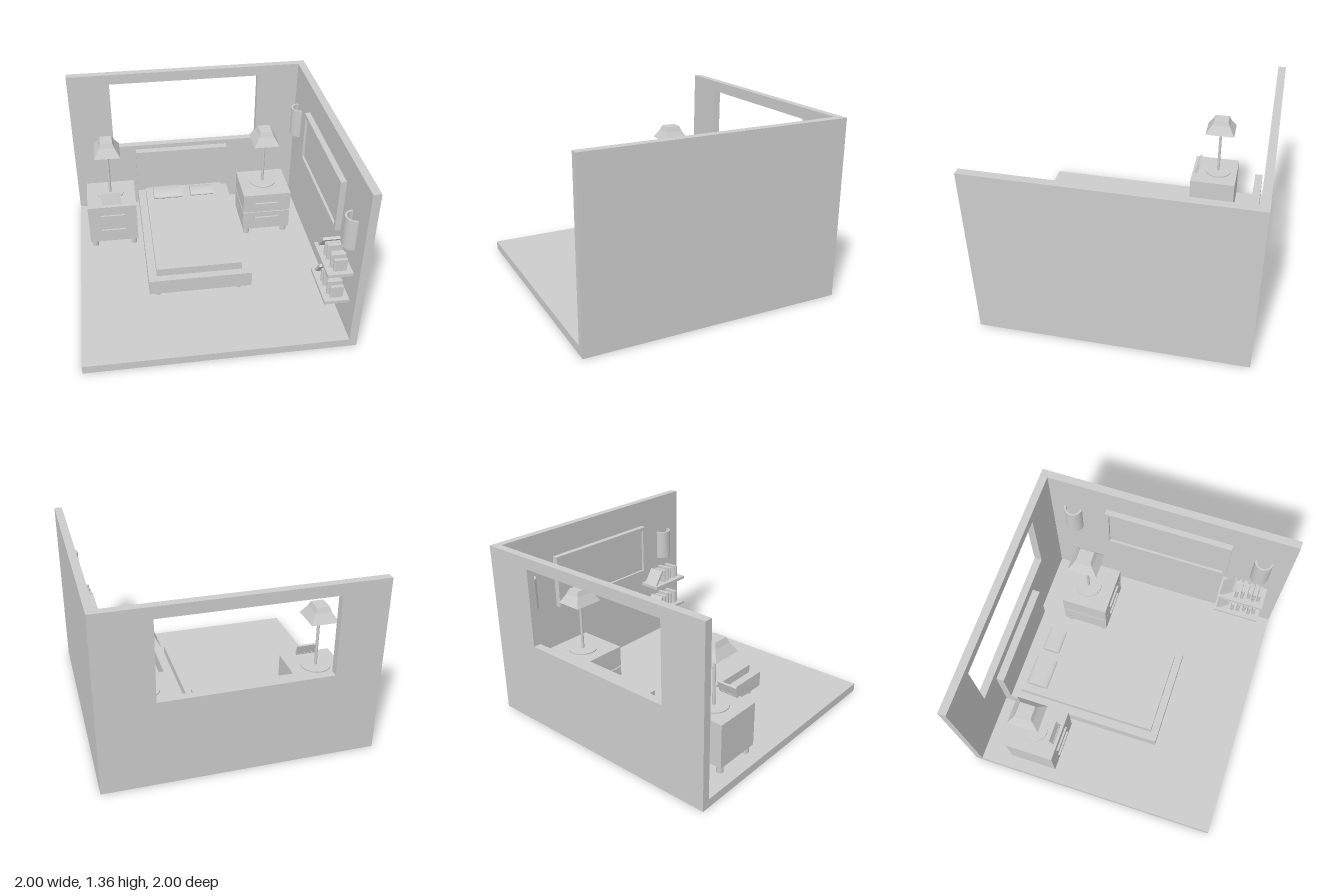
import * as THREE from 'three';

export function createModel() {
  const room = new THREE.Group();
  room.name = 'bedroom';
  const grey = new THREE.MeshStandardMaterial({ color: 0xcccccc });
  grey.name = 'plain grey';

  const add = (name, geo, parent = room) => {
    const mesh = new THREE.Mesh(geo, grey);
    mesh.name = name;
    parent.add(mesh);
    return mesh;
  };
  const group = (name) => {
    const g = new THREE.Group();
    g.name = name;
    room.add(g);
    return g;
  };
  // Box given by its extents along each axis
  const box = (name, x0, x1, y0, y1, z0, z1, parent) => {
    const geo = new THREE.BoxGeometry(x1 - x0, y1 - y0, z1 - z0);
    geo.translate((x0 + x1) / 2, (y0 + y1) / 2, (z0 + z1) / 2);
    return add(name, geo, parent);
  };
  // Upright cylinder from y0 to y1
  const post = (name, x, z, r, y0, y1, parent) => {
    const geo = new THREE.CylinderGeometry(r, r, y1 - y0, 32);
    geo.translate(x, (y0 + y1) / 2, z);
    return add(name, geo, parent);
  };
  // Rectangular plate with a rectangular opening, extruded along z
  const ring = (x0, x1, y0, y1, hx0, hx1, hy0, hy1, depth) => {
    const rect = (Type, a, b, c, d) => new Type([
      new THREE.Vector2(a, c), new THREE.Vector2(b, c),
      new THREE.Vector2(b, d), new THREE.Vector2(a, d)]);
    const shape = rect(THREE.Shape, x0, x1, y0, y1);
    shape.holes.push(rect(THREE.Path, hx0, hx1, hy0, hy1));
    return new THREE.ExtrudeGeometry(shape, { depth, bevelEnabled: false });
  };

  // Floor and walls
  const H = 1.355;
  box('floor', -1, 1, 0, 0.065, -1, 1);
  box('sideWall', 0.94, 1, 0.065, H, -1, 1);
  add('windowWall', ring(-1, 0.94, 0.065, H, -0.655, 0.595, 0.665, 1.27, 0.06)).position.z = -1;

  // Bed
  const bed = group('bed');
  box('headboard', -0.47, 0.33, 0.125, 0.64, -0.92, -0.86, bed);
  box('bedBase', -0.47, 0.33, 0.125, 0.25, -0.86, 0.385, bed);
  box('mattress', -0.405, 0.26, 0.25, 0.315, -0.79, 0.325, bed);
  for (const x of [-0.405, 0.235])
    for (const z of [-0.8, 0.31]) post('bedLeg', x, z, 0.025, 0.065, 0.125, bed);
  const pillow = (x0, x1, z0, z1, top) => {
    const geo = new THREE.CylinderGeometry(1, 1, x1 - x0, 32);
    geo.rotateZ(Math.PI / 2);
    geo.scale(1, (top - 0.315) / 2, (z1 - z0) / 2);
    geo.translate((x0 + x1) / 2, (top + 0.315) / 2, (z0 + z1) / 2);
    add('pillow', geo, bed);
  };
  pillow(-0.345, -0.1, -0.755, -0.578, 0.372);
  pillow(-0.025, 0.17, -0.735, -0.593, 0.362);

  // Bedside cabinets
  const cabinet = (cx, split) => {
    const g = group('bedsideCabinet');
    const [x0, x1, z0, z1] = [cx - 0.2, cx + 0.2, -0.7, -0.325];
    if (split) {
      box('lowerDrawer', x0, x1, 0.125, 0.292, z0, z1, g);
      box('cabinetCore', x0 + 0.01, x1 - 0.01, 0.292, 0.304, z0 + 0.01, z1 - 0.01, g);
      box('upperDrawer', x0, x1, 0.304, 0.47, z0, z1, g);
    } else box('cabinetBody', x0, x1, 0.125, 0.47, z0, z1, g);
    for (const y of [0.24, 0.384])
      box('drawerHandle', cx - 0.1, cx + 0.1, y - 0.006, y + 0.006, z1, z1 + 0.015, g);
    for (const dx of [-0.163, 0.163])
      for (const z of [z0 + 0.04, z1 - 0.04]) post('cabinetLeg', cx + dx, z, 0.025, 0.065, 0.125, g);
  };
  cabinet(-0.71, false);
  cabinet(0.59, true);

  // Table lamps with four-sided flared shades
  const lamp = (cx) => {
    const g = group('tableLamp');
    const cz = -0.538;
    post('lampFoot', cx, cz, 0.11, 0.47, 0.48, g);
    post('lampPole', cx, cz, 0.011, 0.48, 0.93, g);
    const tier = (y0, y1, w0, d0, w1, d1, openTop) => {
      const geo = new THREE.BoxGeometry(1, y1 - y0, 1);
      const p = geo.attributes.position;
      for (let i = 0; i < p.count; i++) {
        const up = p.getY(i) > 0;
        p.setX(i, p.getX(i) * 2 * (up ? w1 : w0));
        p.setZ(i, p.getZ(i) * 2 * (up ? d1 : d0));
      }
      geo.computeVertexNormals();
      geo.translate(cx, (y0 + y1) / 2, cz);
      add('lampShade', geo, g);
    };
    tier(0.875, 0.945, 0.104, 0.118, 0.063, 0.074);
    tier(0.945, 0.985, 0.063, 0.074, 0.048, 0.058);
  };
  lamp(-0.715);
  lamp(0.588);

  // Photo frame leaning back on the cabinet
  const photo = group('photoFrame');
  add('photoBorder', ring(-0.08, 0.08, 0, 0.09, -0.07, 0.07, 0.01, 0.08, 0.015), photo);
  box('photoPanel', -0.07, 0.07, 0.01, 0.08, 0.002, 0.008, photo);
  photo.position.set(-0.71, 0.474, -0.363);
  photo.rotation.x = -0.3;

  // Large framed panel on the side wall
  const picture = group('wallPicture');
  add('pictureBorder', ring(-0.505, 0.505, 0.715, 1.14, -0.475, 0.475, 0.745, 1.11, 0.045), picture);
  box('picturePanel', -0.475, 0.475, 0.745, 1.11, 0, 0.025, picture);
  picture.rotation.y = -Math.PI / 2;
  picture.position.set(0.94, 0, 0.025);

  // Hollow half-round wall lights
  for (const z of [-0.755, 0.79]) {
    const s = new THREE.Shape();
    s.absarc(0, 0, 0.072, Math.PI / 2, Math.PI * 1.5, false);
    s.absarc(0, 0, 0.057, Math.PI * 1.5, Math.PI / 2, true);
    const geo = new THREE.ExtrudeGeometry(s, { depth: 0.245, bevelEnabled: false, curveSegments: 20 });
    geo.rotateX(-Math.PI / 2);
    add('wallLight', geo).position.set(0.932, 0.795, z);
  }

  // Shelves, each with a leaning book and a row of upright books
  const rowOfBooks = [[0.661, 0.785, 0.11], [0.708, 0.79, 0.125], [0.76, 0.805, 0.1], [0.8, 0.79, 0.115], [0.84, 0.805, 0.095]];
  const shelf = (y0) => {
    const g = group('bookShelf');
    const top = y0 + 0.025;
    box('shelfBoard', 0.755, 0.94, y0, top, 0.515, 0.89, g);
    const leaning = box('leaningBook', 0.78, 0.91, 0, 0.145, 0, 0.022, g);
    leaning.position.set(0, top + 0.002, 0.53);
    leaning.rotation.x = 0.62;
    for (const [z, x, h] of rowOfBooks) {
      box('book', x + 0.012, 0.9, top, top + h, z - 0.013, z + 0.013, g);
      post('bookSpine', x + 0.013, z, 0.013, top, top + h, g);
    }
  };
  shelf(0.585);
  shelf(0.335);

  return room;
}
